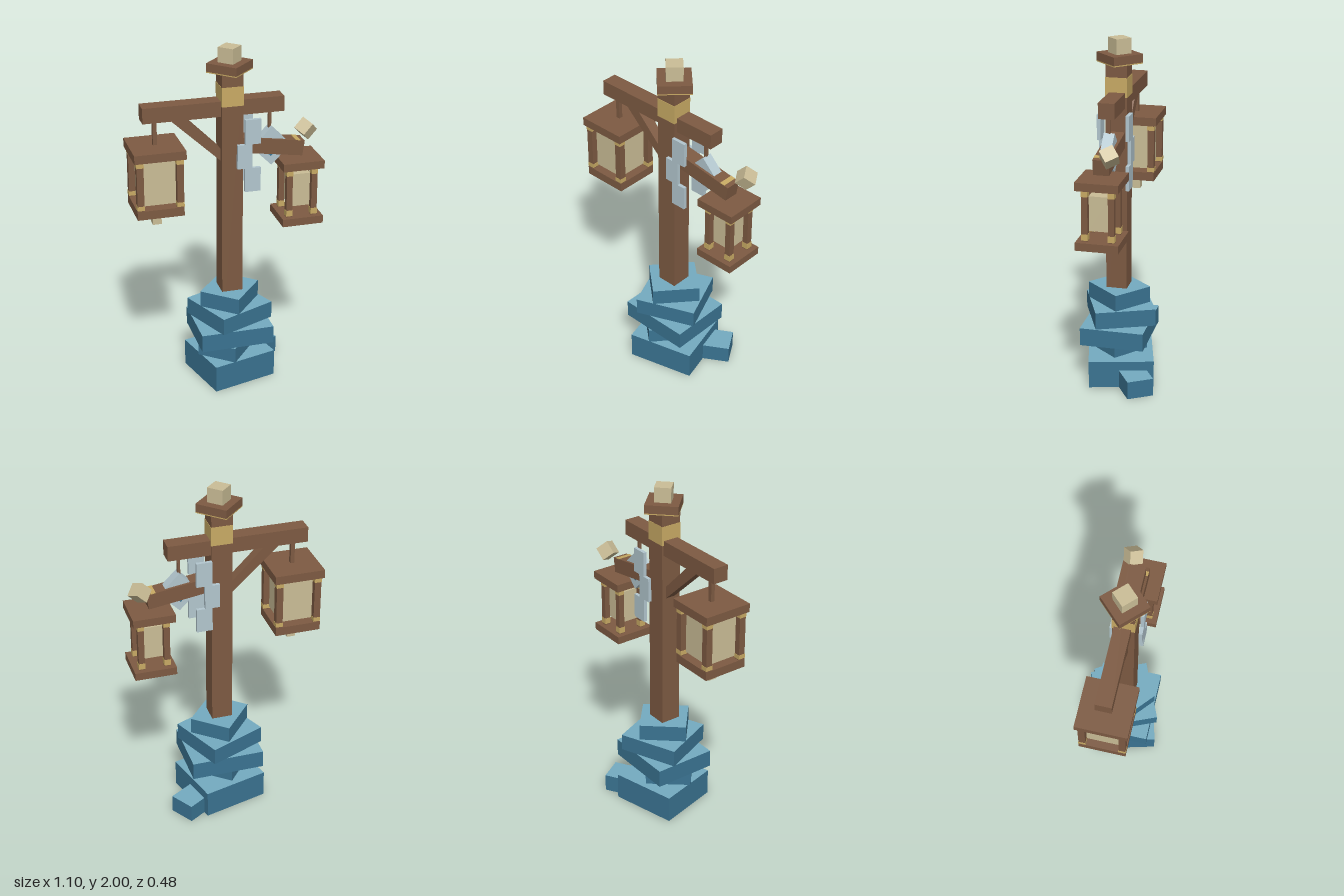
import * as THREE from 'three';

const mat = (name, color) => {
  const m = new THREE.MeshStandardMaterial({ color });
  m.name = name;
  return m;
};

export function createModel() {
  const wood = mat('wood', 0x7d5a42);
  const gold = mat('gold', 0xc8aa64);
  const glow = mat('lantern glass', 0xcabd96);
  const stone = mat('stone', 0x3a7391);
  const stoneTop = mat('pale stone top', 0x74abc0);
  const metal = mat('metal', 0xb2c6ce);

  const root = new THREE.Group();
  root.name = 'lanternPost';

  // box from size and centre
  const box = (parent, name, material, size, pos, rot = [0, 0, 0]) => {
    const m = new THREE.Mesh(new THREE.BoxGeometry(...size), material);
    m.name = name;
    m.position.set(...pos);
    m.rotation.set(...rot);
    parent.add(m);
    return m;
  };
  // upright box between two heights
  const slab = (parent, name, material, x, z, w, d, y0, y1, turn = 0) =>
    box(parent, name, material, [w, y1 - y0, d], [x, (y0 + y1) / 2, z], [0, turn, 0]);

  // stacked stones with pale tops: x, z, width, depth, bottom, top, turn
  const rock = [stone, stone, stoneTop, stone, stone, stone];
  const stones = new THREE.Group();
  stones.name = 'stoneBase';
  root.add(stones);
  [
    [0.022, 0.01, 0.393, 0.373, 0, 0.16, 0.257],
    [0.24, -0.132, 0.163, 0.153, 0, 0.105, 0.55],
    [-0.005, 0.037, 0.266, 0.234, 0.16, 0.25, 0.88],
    [0.022, 0.014, 0.425, 0.368, 0.25, 0.355, 0],
    [0.022, 0.01, 0.353, 0.344, 0.365, 0.465, 0.4],
    [0.02, 0.018, 0.27, 0.243, 0.465, 0.56, 0.86],
  ].forEach((s, i) => slab(stones, 'stone' + (i + 1), rock, ...s));

  // post, band, cap and finial
  const C = 0.02, Z = 0.015, Q = Math.PI / 4;
  slab(root, 'post', wood, C, 0.02, 0.12, 0.12, 0.3, 1.87);
  slab(root, 'postBand', gold, C, 0.02, 0.123, 0.123, 1.68, 1.79);
  slab(root, 'capTrim', gold, C, Z, 0.185, 0.185, 1.862, 1.868, Q);
  slab(root, 'cap', wood, C, Z, 0.185, 0.185, 1.868, 1.915, Q);
  slab(root, 'finial', glow, C, Z, 0.093, 0.093, 1.915, 2, Q);

  // crossbeam and diagonal brace
  slab(root, 'crossbeam', wood, -0.0775, Z, 0.795, 0.09, 1.62, 1.707);
  const braceShape = new THREE.Shape([[-0.33, 1.63], [-0.03, 1.35], [-0.03, 1.42], [-0.24, 1.63]]
    .map(p => new THREE.Vector2(...p)));
  const brace = new THREE.Mesh(
    new THREE.ExtrudeGeometry(braceShape, { depth: 0.06, bevelEnabled: false }), wood);
  brace.name = 'brace';
  brace.position.z = Z - 0.03;
  root.add(brace);

  // lantern: roof, base, four banded corner posts and a glass block
  const lantern = (name, x, o) => {
    const g = new THREE.Group();
    g.name = name;
    g.position.set(x, 0, Z);
    root.add(g);
    slab(g, 'roof', wood, 0, 0, o.roof, o.roof, o.y2, o.y3);
    slab(g, 'floor', wood, 0, 0, o.floor, o.floor, o.y0, o.y1);
    slab(g, 'glass', glow, 0, 0, o.glass, o.glass, o.g0, o.g1);
    for (const sx of [-1, 1]) for (const sz of [-1, 1]) {
      const px = sx * o.offset, pz = sz * o.offset, w = o.post;
      slab(g, 'cornerPost', wood, px, pz, w, w, o.y1, o.y2);
      slab(g, 'lowerRing', gold, px, pz, w + 0.003, w + 0.003, o.y1 + 0.005, o.y1 + o.ring);
      slab(g, 'upperRing', gold, px, pz, w + 0.003, w + 0.003, o.y2 - o.ring, o.y2 - 0.005);
    }
    return g;
  };
  const big = lantern('largeLantern', -0.402, {
    roof: 0.287, floor: 0.262, post: 0.038, offset: 0.111, glass: 0.19, ring: 0.03,
    y0: 1.1, y1: 1.15, y2: 1.433, y3: 1.482, g0: 1.165, g1: 1.42,
  });
  slab(big, 'hangingRod', wood, 0, 0, 0.023, 0.023, 1.48, 1.63);
  slab(big, 'pendant', glow, 0, 0, 0.05, 0.05, 1.015, 1.09);
  lantern('smallLantern', 0.42, {
    roof: 0.238, floor: 0.238, post: 0.034, offset: 0.073, glass: 0.115, ring: 0.04,
    y0: 0.95, y1: 0.995, y2: 1.284, y3: 1.33, g0: 1.045, g1: 1.24,
  });

  // sloping arm, built along x and tipped down
  const arm = new THREE.Group();
  arm.name = 'slopingArm';
  arm.position.set(0.245, 1.417, Z);
  arm.rotation.z = -0.15;
  root.add(arm);
  box(arm, 'armBeam', wood, [0.39, 0.088, 0.088], [0, 0, 0]);
  box(arm, 'armBand', gold, [0.028, 0.004, 0.088], [0.155, 0.045, 0]);
  box(root, 'tiltedCube', glow, [0.078, 0.078, 0.078], [0.483, 1.465, -0.043], [0.4, 0.5, 0.65]);

  // hanging diamond sign
  slab(root, 'signRod', wood, 0.25, Z, 0.016, 0.016, 1.5, 1.63);
  box(root, 'diamondSign', metal, [0.16, 0.16, 0.06], [0.255, 1.415, Z], [0, 0, Q]);
  box(root, 'signInset', stone, [0.07, 0.07, 0.066], [0.25, 1.405, Z], [0, 0, Q]);

  // stepped metal plates on both sides of the arm
  const plateShape = new THREE.Shape([
    [0.085, 1.18], [0.175, 1.18], [0.175, 1.32], [0.127, 1.32], [0.127, 1.46], [0.175, 1.46],
    [0.175, 1.603], [0.085, 1.603], [0.085, 1.46], [0.042, 1.46], [0.042, 1.32], [0.085, 1.32],
  ].map(p => new THREE.Vector2(...p)));
  for (const z of [0.085, -0.075]) {
    const plate = new THREE.Mesh(
      new THREE.ExtrudeGeometry(plateShape, { depth: 0.02, bevelEnabled: false }), metal);
    plate.name = 'steppedPlate';
    plate.position.z = z;
    root.add(plate);
  }

  return root;
}
